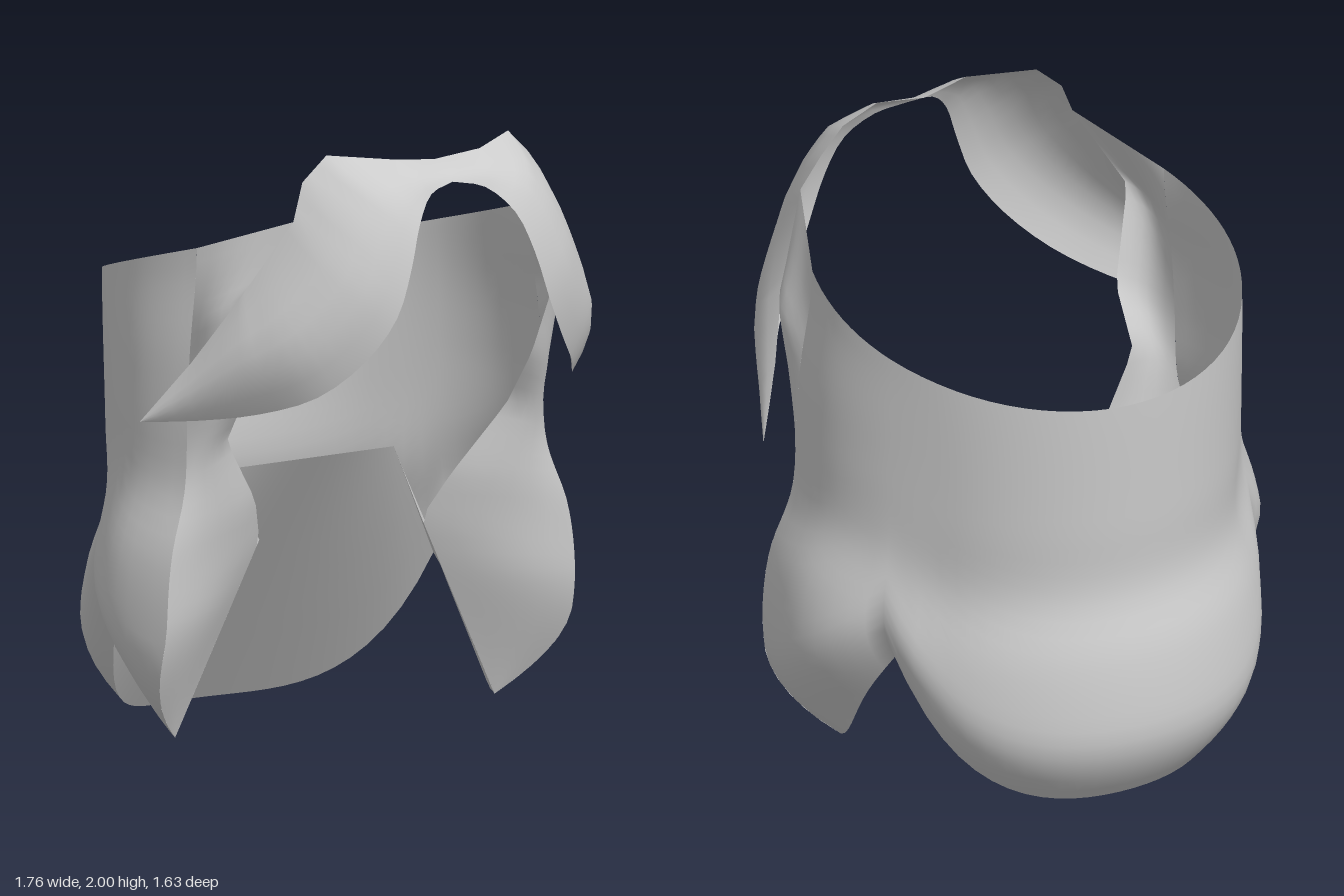
import * as THREE from 'three';

const { lerp, clamp, smoothstep } = THREE.MathUtils;
const mix = (a, b, t) => a.map((v, k) => lerp(v, b[k], t));
const mat = new THREE.MeshStandardMaterial({ color: 0xcccccc, side: THREE.DoubleSide });

// Smooth sheet from a grid rule f(i, j) -> [x, y, z]
function sheet(name, nu, nv, f) {
  const pos = [], idx = [];
  for (let i = 0; i <= nu; i++) for (let j = 0; j <= nv; j++) pos.push(...f(i, j));
  for (let i = 0; i < nu; i++) for (let j = 0; j < nv; j++) {
    const a = i * (nv + 1) + j, b = a + nv + 1;
    idx.push(a, a + 1, b, b, a + 1, b + 1);
  }
  const g = new THREE.BufferGeometry();
  g.setAttribute('position', new THREE.Float32BufferAttribute(pos, 3));
  g.setIndex(idx);
  g.computeVertexNormals();
  const m = new THREE.Mesh(g, mat);
  m.name = name;
  return m;
}

// Piecewise-linear lookup in rows [key, value...] with falling keys
function lookup(rows, key) {
  let k = 0;
  while (k < rows.length - 2 && key < rows[k + 1][0]) k++;
  const [a, b] = [rows[k], rows[k + 1]];
  return mix(a, b, clamp((key - a[0]) / (b[0] - a[0]), 0, 1));
}

// Radius factors by height, at the back and at the sides
const curveOf = pts => {
  const c = new THREE.CatmullRomCurve3(pts.map(([y, r]) => new THREE.Vector3(r, y, 0)));
  return c.getPoints(60).map(p => [p.y, p.x]);
};
const backProfile = curveOf([[1.75, 1], [1.44, 1], [1, 0.985], [0.75, 0.98], [0.55, 1.065], [0.35, 1.11], [0.2, 1.12], [0, 1.09]]);
const sideProfile = curveOf([[1.75, 1], [1.6, 1.01], [1.35, 1.06], [1.15, 1.08], [0.9, 1.1], [0.7, 1.2], [0.55, 1.235], [0.35, 1.24], [0, 1.2]]);

// u runs from 0 (middle of the back) over 0.6 (notch) to 1 (front edge of the side lobe)
const NOTCH = 70;
function angle(u, y) {
  if (u <= 0.6) return u / 0.6 * NOTCH;
  const t = clamp((y - 0.05) / 0.45, 0, 1);
  return lerp(NOTCH, 96 + 11 * (1 - (1 - t) ** 2), (u - 0.6) / 0.4);
}
const plan = (deg, r, y) => {
  const a = deg * Math.PI / 180;
  return [0.7 * r * Math.sin(a), y, -0.73 * r * Math.cos(a)];
};
const rimY = u => 1.44 + 0.26 * (0.73 - 0.73 * Math.cos(angle(u, 2) * Math.PI / 180));
const hemY = u => u <= 0.6 ? 0.47 * (u / 0.6) ** 3.6 : 0.05 + 0.42 * Math.max(0, 1 - (u - 0.6) / 0.4) ** 1.5;

function outer(u, v) {
  const hem = hemY(u), y = lerp(rimY(u), hem, v), deg = angle(u, y), s = Math.max(0, (u - 0.6) / 0.4);
  const curl = (lerp(0.17, 0.27, s) + 0.05 * Math.sin(Math.PI * s)) * Math.max(0, 1 - (y - hem) / 0.3) ** 2;
  const r = lerp(lookup(backProfile, y)[1], lookup(sideProfile, y)[1], smoothstep(deg, 53, 94));
  return plan(deg, r - curl, y);
}

// Front edge of each side, from the rim down to the lobe tip
const edge = [[0.52, 1.8, 0.53], [0.66, 1.54, 0.42], [0.58, 1.22, 0.36], [0.57, 1.04, 0.24],
  [0.4, 0.82, 0.17], [0.33, 0.67, 0.1], [0.65, 0.05, 0.07]];
const edgeByY = edge.map(([x, y, z]) => [y, x, z]);

// Upper line of the undersides: straight across the back, then down to the inner corner of each lobe
function fold(u) {
  if (u <= 0.6) return [0.34 * Math.sin(angle(u, 2) * Math.PI / 180) / Math.sin(NOTCH * Math.PI / 180), 0.88, -0.06];
  return mix([0.34, 0.88, -0.06], edge[5], (u - 0.6) / 0.4);
}

// Brow columns: upper edge points (straight runs) and lower edge points (smooth curve)
const seam = t => mix(edge[0], edge[1], t);
const browTop = [[0, 1.96, 0.6], [0.17, 1.98, 0.62], [0.37, 2, 0.51], [0.46, 1.92, 0.5], seam(0),
  seam(1 / 3), seam(2 / 3), seam(1), [0.76, 1.33, 0.3], [0.88, 1.13, 0.18]];
const browHem = new THREE.CatmullRomCurve3([[0, 1.9, 0.7], [0.11, 1.875, 0.73], [0.195, 1.79, 0.78],
  [0.25, 1.66, 0.81], [0.31, 1.5, 0.81], [0.4, 1.36, 0.76], [0.52, 1.24, 0.66], [0.64, 1.175, 0.5],
  [0.76, 1.145, 0.34], [0.88, 1.13, 0.18]].map(p => new THREE.Vector3(...p)));
function browPoint(c, t) {
  const k = Math.min(8, Math.floor(c)), a = mix(browTop[k], browTop[k + 1], c - k);
  const b = browHem.getPoint(c / 9).toArray(), p = mix(a, b, t);
  const len = Math.hypot(a[0] - b[0], a[1] - b[1], a[2] - b[2]), r = Math.hypot(p[0], p[2]);
  const out = 1 + (0.16 + 0.015 * Math.max(0, c - 4)) * len * Math.sin(Math.PI * t) / r;
  return [p[0] * out, p[1], p[2] * out];
}

export function createModel() {
  const group = new THREE.Group();
  group.name = 'hoodShell';
  const flip = (s, p) => [s * p[0], p[1], p[2]];

  // Outer shell with back lobe and side lobes
  group.add(sheet('outerShell', 50, 28, (i, j) => {
    const u = (i - 25) / 25;
    return flip(Math.sign(u), outer(Math.abs(u), j / 28));
  }));

  // Undersides of the back lobe and the side lobes, open to the inside
  const underside = (name, u0, u1, n) => sheet(name, n, 4, (i, j) => {
    const u = lerp(u0, u1, i / n), a = Math.abs(u);
    return flip(Math.sign(u), mix(fold(a), outer(a, 1), j / 4));
  });
  group.add(underside('backUnderside', -0.6, 0.6, 30));

  for (const s of [1, -1]) {
    const side = s > 0 ? 'left' : 'right';
    group.add(underside(side + 'Underside', 0.6 * s, s, 10));

    // Front panel from the shell's front edge to the inner edge, bulging outward
    group.add(sheet(side + 'FrontPanel', 6, 35, (i, j) => {
      const v = j / 35, t = i / 6, [y, x, z] = lookup(edgeByY, lerp(1.8, 0.05, v));
      const p = mix(outer(1, v), [x, y, z], t);
      const bulge = Math.sin(Math.PI * t) * Math.min(1, 6 * v, 4 * (1 - v));
      p[0] += 0.045 * Math.max(0, 1 - 1.6 * v) * bulge;
      p[2] += 0.03 * bulge;
      return flip(s, p);
    }));
  }

  // Brow band with pointed side flaps
  group.add(sheet('browBand', 54, 6, (i, j) =>
    flip(Math.sign(i - 27), browPoint(Math.abs(i - 27) / 3, j / 6))));

  return group;
}
